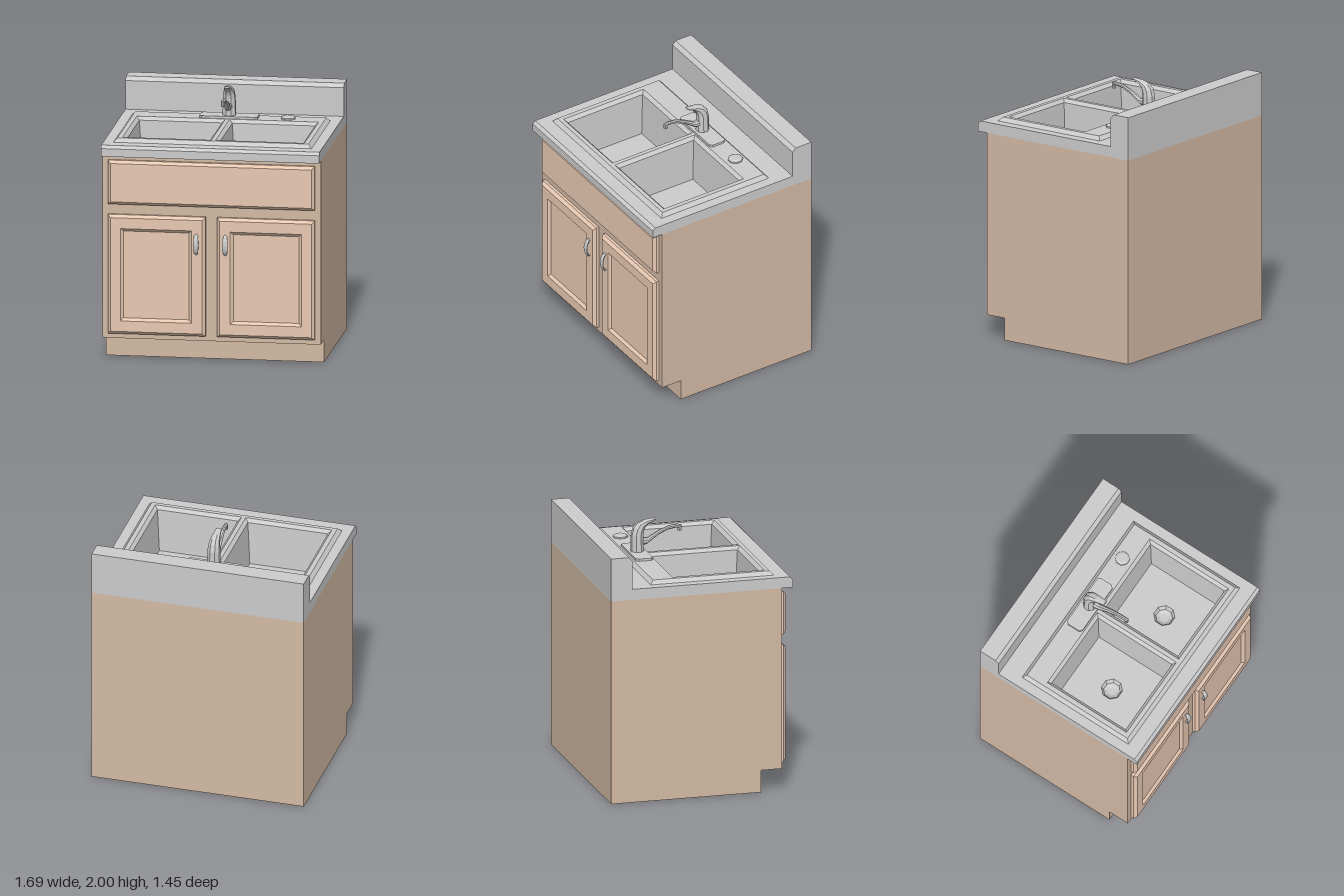
import * as THREE from 'three';

const grey = new THREE.MeshStandardMaterial({ color: 0xcccccc, flatShading: true });
const sinkGrey = new THREE.MeshStandardMaterial({ color: 0xcccccc, flatShading: true, side: THREE.DoubleSide });
const wood = new THREE.MeshStandardMaterial({ color: 0xd3b9a4, flatShading: true });
const panelWood = new THREE.MeshStandardMaterial({ color: 0xe8c9b2, flatShading: true });

const W = 0.845, BACK = -0.725, DECK = 1.73;

function add(parent, name, geometry, material) {
  const mesh = new THREE.Mesh(geometry, material);
  mesh.name = name;
  parent.add(mesh);
  return mesh;
}

function box(x0, x1, y0, y1, z0, z1) {
  return new THREE.BoxGeometry(x1 - x0, y1 - y0, z1 - z0)
    .translate((x0 + x1) / 2, (y0 + y1) / 2, (z0 + z1) / 2);
}

function build(positions, index) {
  const g = new THREE.BufferGeometry();
  g.setAttribute('position', new THREE.Float32BufferAttribute(positions, 3));
  g.setIndex(index);
  const flat = g.toNonIndexed();
  flat.computeVertexNormals();
  return flat;
}

// Nested rectangles [x0, x1, y0, y1, z], outer to inner, facing +z
function rectLoft(rings, capped) {
  const pos = [], idx = [];
  rings.forEach(([x0, x1, y0, y1, z], r) => {
    pos.push(x0, y0, z, x1, y0, z, x1, y1, z, x0, y1, z);
    if (r === 0) return;
    for (let i = 0; i < 4; i++) {
      const a = r * 4 - 4 + i, a2 = r * 4 - 4 + (i + 1) % 4;
      idx.push(a, a2, a2 + 4, a, a2 + 4, a + 4);
    }
  });
  const n = rings.length * 4 - 4;
  if (capped) idx.push(n, n + 1, n + 2, n, n + 2, n + 3);
  return build(pos, idx);
}

// Eight-sided sections [z, y of back/top edge, z, y of front/under edge, half width]
function sectionLoft(sections, sides = 8) {
  const pos = [], idx = [], last = (sections.length - 1) * sides;
  sections.forEach(([pz, py, qz, qy, w], s) => {
    for (let k = 0; k < sides; k++) {
      const t = (k + 0.5) / sides * Math.PI * 2, c = Math.cos(t) / Math.cos(Math.PI / sides) / 2;
      pos.push(w * Math.sin(t), (py + qy) / 2 + (py - qy) * c, (pz + qz) / 2 + (pz - qz) * c);
      if (s === 0) continue;
      const a = (s - 1) * sides + k, a2 = (s - 1) * sides + (k + 1) % sides;
      idx.push(a, a2 + sides, a2, a, a + sides, a2 + sides);
    }
  });
  for (let k = 1; k < sides - 1; k++) idx.push(0, k, k + 1, last, last + k + 1, last + k);
  return build(pos, idx);
}

const rectPoints = (x0, x1, y0, y1) =>
  [[x0, y0], [x1, y0], [x1, y1], [x0, y1]].map(p => new THREE.Vector2(...p));

// Side profile of [z, y] points run across the full width
function acrossWidth(points) {
  const shape = new THREE.Shape(points.map(p => new THREE.Vector2(...p)));
  return new THREE.ExtrudeGeometry(shape, { depth: 2 * W, bevelEnabled: false })
    .rotateY(-Math.PI / 2).translate(W, 0, 0);
}

const inset = ([x0, x1, y0, y1], d, z) => [x0 + d, x1 - d, y0 + d, y1 - d, z];

function cabinet(root) {
  const g = new THREE.Group();
  g.name = 'cabinet';
  // Hollow carcass on a recessed toe kick
  const walls = new THREE.Shape(rectPoints(-W, W, -0.635, -BACK));
  walls.holes.push(new THREE.Path(rectPoints(-0.8, 0.8, -0.6, 0.68)));
  add(g, 'cabinetWalls', new THREE.ExtrudeGeometry(walls, { depth: 1.44, bevelEnabled: false })
    .rotateX(-Math.PI / 2).translate(0, 0.175, 0), wood);
  add(g, 'cabinetFloor', box(-0.81, 0.81, 0.175, 0.2, -0.7, 0.62), wood);
  add(g, 'toeKick', box(-W, W, 0, 0.175, BACK, 0.465), wood);

  const drawer = [-0.8, 0.8, 1.23, 1.575];
  add(g, 'falseDrawerFront', rectLoft([inset(drawer, 0, 0.63), inset(drawer, 0, 0.657),
    inset(drawer, 0.022, 0.68)], true), panelWood);

  // Handle as a bowed bar, widest in the middle
  const bow = [];
  for (let i = 0; i <= 8; i++) {
    const t = i / 8 * Math.PI, c = Math.cos(t), s = Math.sin(t);
    bow.push([0.672 + 0.034 * s, 0.94 - 0.066 * c, 0.675 + 0.046 * s, 0.94 - 0.083 * c, 0.009 + 0.014 * s]);
  }
  const handle = sectionLoft(bow);

  for (const [side, name] of [[-1, 'right'], [1, 'left']]) {
    const mirrorX = (a, b) => side > 0 ? [a, b] : [-b, -a];
    const outer = [...mirrorX(0.045, 0.8), 0.215, 1.15];
    const field = [...mirrorX(0.15, 0.7), 0.32, 1.045];
    add(g, name + 'Door', rectLoft([inset(outer, 0, 0.63), inset(outer, 0, 0.657),
      inset(outer, 0.022, 0.68), inset(field, 0, 0.68), inset(field, 0.022, 0.66)], true), panelWood);
    add(g, name + 'DoorHandle', handle, grey).position.x = side * 0.113;
  }
  root.add(g);
}

function countertop(root) {
  const g = new THREE.Group();
  g.name = 'countertop';
  add(g, 'frontEdge', acrossWidth([[0.56, 1.615], [0.72, 1.615], [0.72, 1.677], [0.697, 1.7], [0.56, 1.7]]), grey);
  add(g, 'backsplash', acrossWidth([[BACK, 1.615], [-0.37, 1.615], [-0.37, 1.7], [-0.555, 1.7],
    [-0.555, 1.925], [-0.583, 1.955], [BACK, 1.955]]), grey);
  add(g, 'rightStrip', box(-W, -0.74, 1.615, 1.7, -0.37, 0.56), grey);
  add(g, 'leftStrip', box(0.74, W, 1.615, 1.7, -0.37, 0.56), grey);
  root.add(g);
}

function sink(root) {
  const g = new THREE.Group();
  g.name = 'sink';
  g.rotation.x = -Math.PI / 2; // local y runs to the back, local z is up
  const rim = [-0.768, 0.765, -0.59, 0.39];
  add(g, 'sinkRim', rectLoft([inset(rim, 0, 1.7), inset(rim, 0.027, DECK)], false), sinkGrey);

  const deck = new THREE.Shape(rectPoints(-0.741, 0.738, -0.563, 0.363));
  for (const [x0, x1, name] of [[-0.705, -0.018, 'right'], [0.014, 0.703, 'left']]) {
    const bowl = [x0, x1, -0.53, 0.2], floorY = 1.36;
    deck.holes.push(new THREE.Path(rectPoints(...bowl)));
    add(g, name + 'Basin', rectLoft([inset(bowl, 0, DECK), inset(bowl, 0.025, 1.705),
      inset(bowl, 0.047, floorY)], false), sinkGrey);

    // Basin floor with an eight-sided drain cup
    const cx = (x0 + x1) / 2, cy = -0.165, ring = [];
    for (let k = 0; k < 8; k++) {
      const t = (k + 0.5) * Math.PI / 4;
      ring.push(new THREE.Vector2(cx + 0.083 * Math.cos(t), cy + 0.083 * Math.sin(t)));
    }
    const floor = new THREE.Shape(rectPoints(...inset(bowl, 0.047, 0).slice(0, 4)));
    floor.holes.push(new THREE.Path(ring));
    add(g, name + 'BasinFloor', new THREE.ShapeGeometry(floor).translate(0, 0, floorY), sinkGrey);
    const cup = [[0, -0.05], [0.035, -0.05], [0.065, -0.035], [0.083, 0]].map(p => new THREE.Vector2(...p));
    add(g, name + 'Drain', new THREE.LatheGeometry(cup, 8, Math.PI / 8)
      .rotateX(Math.PI / 2).translate(cx, cy, floorY), sinkGrey);
  }
  add(g, 'sinkDeck', new THREE.ShapeGeometry(deck).translate(0, 0, DECK), sinkGrey);
  root.add(g);

  // Cover cap beside the faucet
  add(root, 'holeCover', new THREE.LatheGeometry([[0.058, 0], [0.058, 0.012], [0.04, 0.022], [0, 0.022]]
    .map(p => new THREE.Vector2(...p)), 8, Math.PI / 8), sinkGrey).position.set(0.455, DECK, -0.285);
}

function faucet(root) {
  const g = new THREE.Group();
  g.name = 'faucet';
  // Base plate with clipped corners
  const plate = new THREE.Shape([[-0.205, 0.21], [0.205, 0.21], [0.225, 0.23], [0.225, 0.33],
    [0.205, 0.35], [-0.205, 0.35], [-0.225, 0.33], [-0.225, 0.23]].map(p => new THREE.Vector2(...p)));
  add(g, 'basePlate', new THREE.ExtrudeGeometry(plate, { depth: 0.018, bevelEnabled: false })
    .rotateX(-Math.PI / 2).translate(0, DECK, 0), grey);
  add(g, 'body', sectionLoft([[-0.328, 1.74, -0.232, 1.74, 0.054], [-0.325, 1.88, -0.235, 1.88, 0.05]]), grey);
  add(g, 'lever', sectionLoft([
    [-0.325, 1.88, -0.235, 1.88, 0.05], [-0.31, 1.935, -0.23, 1.91, 0.046],
    [-0.28, 1.97, -0.218, 1.935, 0.04], [-0.225, 1.99, -0.195, 1.957, 0.032],
    [-0.14, 2.0, -0.135, 1.987, 0.022]]), grey);
  add(g, 'spout', sectionLoft([
    [-0.26, 1.85, -0.26, 1.795, 0.03], [-0.2, 1.847, -0.21, 1.797, 0.026],
    [-0.1, 1.902, -0.11, 1.866, 0.02], [-0.03, 1.93, -0.035, 1.9, 0.016],
    [0.035, 1.937, 0.03, 1.91, 0.015], [0.072, 1.93, 0.045, 1.908, 0.015],
    [0.072, 1.885, 0.042, 1.885, 0.015]]), grey);
  root.add(g);
}

export function createModel() {
  const root = new THREE.Group();
  root.name = 'sinkCabinet';
  cabinet(root);
  countertop(root);
  sink(root);
  faucet(root);
  return root;
}
